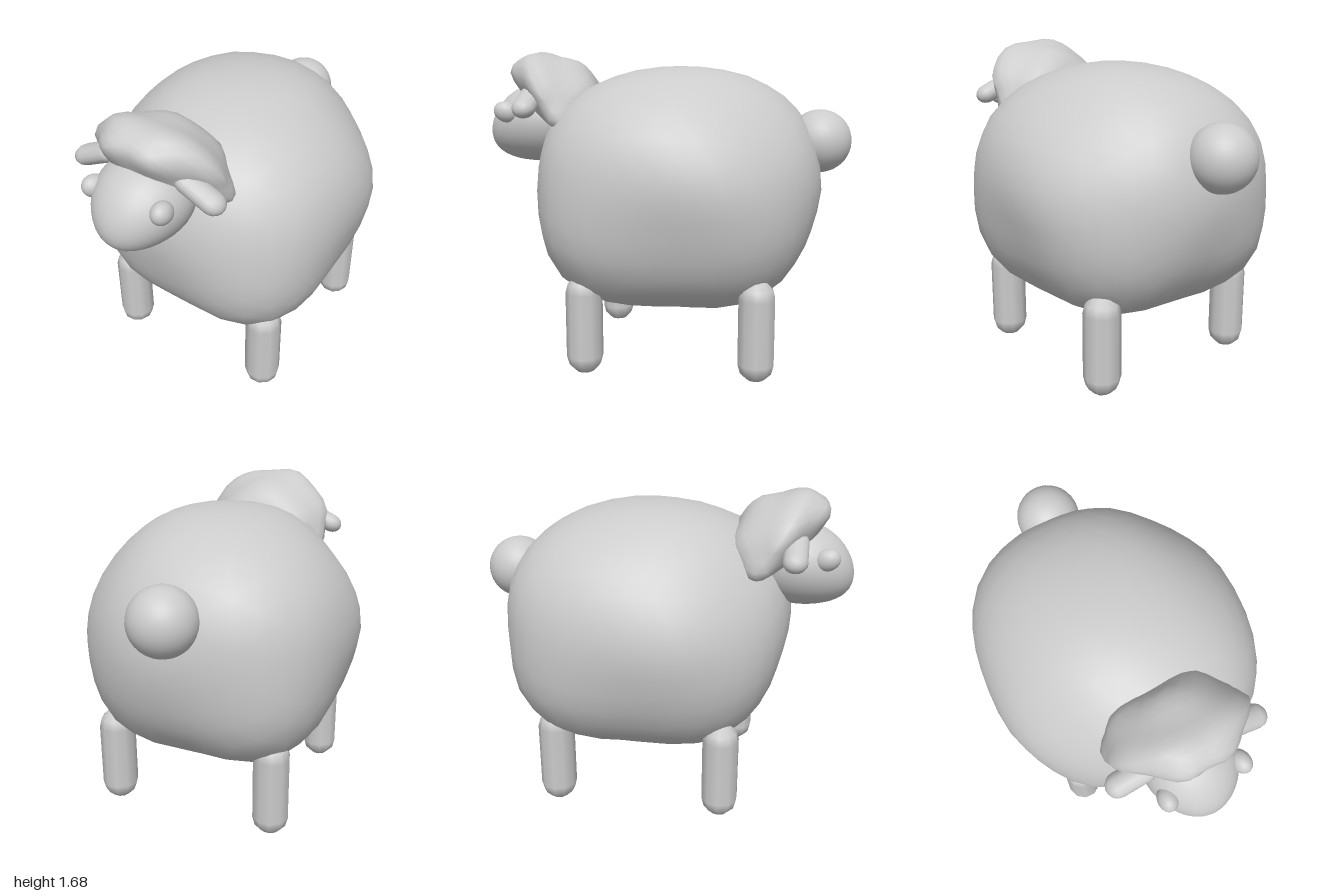
import * as THREE from 'three';
import { mergeVertices } from 'three/addons/utils/BufferGeometryUtils.js';

const wool = new THREE.MeshStandardMaterial({ color: 0xcccccc });

// Unit sphere with shared vertices, each moved by a rule, then smooth normals
function blob(detail, rule) {
  let geo = new THREE.IcosahedronGeometry(1, detail);
  geo.deleteAttribute('uv');
  geo.deleteAttribute('normal');
  geo = mergeVertices(geo, 1e-4);
  const pos = geo.attributes.position;
  const v = new THREE.Vector3();
  for (let i = 0; i < pos.count; i++) {
    v.fromBufferAttribute(pos, i).normalize();
    rule(v);
    pos.setXYZ(i, v.x, v.y, v.z);
  }
  geo.computeVertexNormals();
  return geo;
}

// Factor that pushes a unit direction out to a rounded-square ball of power p
const squareness = ({ x, y, z }, p) =>
  (Math.abs(x) ** p + Math.abs(y) ** p + Math.abs(z) ** p) ** (-1 / p);

// Directions of the curls on the wool cap
const curls = [
  [-0.35, 0.9, 0.25], [0.55, 0.75, 0.2], [0.45, 0.3, -0.9], [-0.6, 0.2, -0.8],
  [-1, -0.3, -0.3], [1, -0.3, -0.3], [0.9, 0.4, 0.1], [-0.9, 0.4, 0.1],
  [0.5, 0.35, 0.85], [-0.4, 0.35, 0.85], [0, 0.8, -0.6],
].map((c) => new THREE.Vector3(...c).normalize());

export function createModel() {
  const group = new THREE.Group();
  const add = (name, geo, x, y, z) => {
    const mesh = new THREE.Mesh(geo, wool);
    mesh.name = name;
    mesh.position.set(x, y, z);
    group.add(mesh);
    return mesh;
  };

  // Body: rounded-square ellipsoid, slightly skewed, fuller below,
  // hollowed between the legs and gently uneven
  add('body', blob(6, (v) => {
    const { x, y, z } = v;
    const low = Math.max(0, -y);
    const angle = Math.atan2(x, z);
    const dent = 0.15 * low * (1 - low) * Math.cos(2 * angle) ** 2;
    const lumps = 0.008 * Math.sin(5 * x + 2 * z) * Math.cos(4 * y - 3 * z + 1);
    const skew = 0.28 * Math.sin(2 * angle) * (1 - y * y);
    const p = 2.4 + skew + 0.4 * low - 0.7 * Math.max(0, y) * Math.abs(x);
    v.multiplyScalar(squareness(v, p) * (1 - dent + lumps));
    v.multiply(new THREE.Vector3(0.72, 0.65, 0.765));
  }), 0, 0.95, -0.075);

  // Head: egg with a slightly lower muzzle
  add('head', blob(6, (v) => {
    const front = Math.max(0, v.z);
    v.set(v.x * 0.235 * (1 - 0.06 * front + 0.06 * v.y), v.y * 0.215 - 0.05 * front ** 2, v.z * 0.27);
  }), 0, 1.29, 0.73);

  // Wool cap: curly tuft, narrow in front, leaning forward, drooping at the sides
  add('woolCap', blob(5, (v) => {
    const { x, y, z } = v;
    let r = 0.88;
    for (const c of curls) r += 0.17 * Math.exp(-14 * (1 - v.dot(c)));
    r *= squareness(v, 2.3);
    const taper = 1 - 0.35 * Math.max(0, z);
    v.set(x * 0.36 * taper, y * 0.21, z * 0.25 + y * 0.05).multiplyScalar(r);
    v.y += 0.05 * z - (0.7 - 0.25 * y) * v.x * v.x;
  }), 0, 1.465, 0.6);

  // Tail
  add('tail', new THREE.SphereGeometry(0.17, 32, 20), -0.02, 1.2, -0.83);

  for (const [side, s] of [['left', 1], ['right', -1]]) {
    // Ears, blunt and drooping outward
    const ear = add(side + 'Ear', new THREE.CapsuleGeometry(0.062, 0.15, 5, 14), s * 0.295, 1.413, 0.7);
    ear.scale.x = 0.82;
    ear.rotation.z = s * (Math.PI / 2 - 0.43);

    // Eyes, slightly flattened against the head
    const eye = add(side + 'Eye',
      blob(4, (v) => v.multiply(new THREE.Vector3(0.05, 0.056, 0.068))), s * 0.192 + 0.008, 1.355, 0.853);
    eye.rotation.set(-0.4, s * 0.2, 0);

    // Legs with rounded ends
    for (const [end, z] of [['Front', 0.376], ['Rear', -0.515]]) {
      const leg = new THREE.CapsuleGeometry(0.096, 0.34, 3, 10);
      add(side + end + 'Leg', leg, s * 0.445 + 0.005, 0.27, z);
    }
  }
  return group;
}
